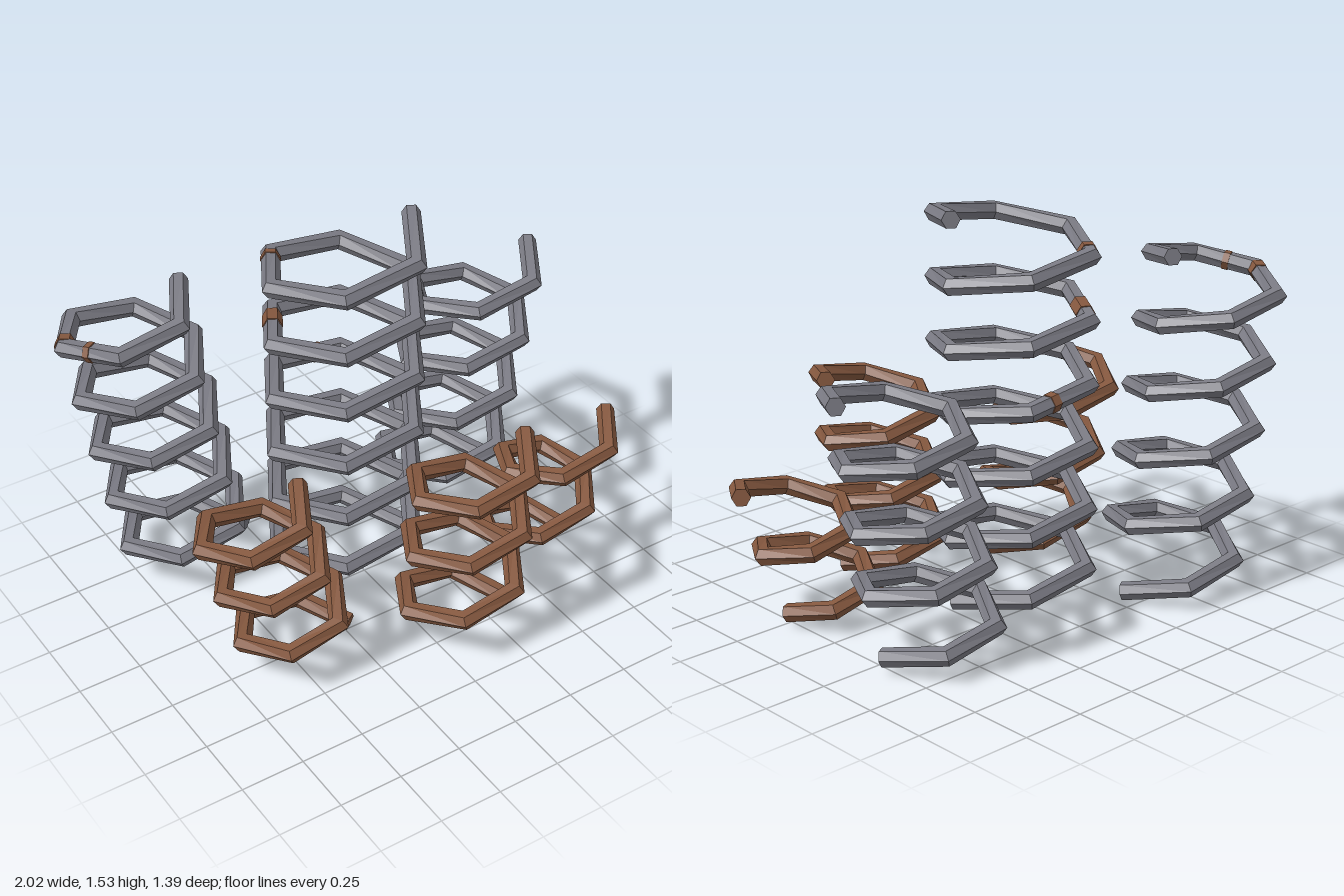
import * as THREE from 'three';

const SIDES = 6; // sides of the wire and segments per turn
const WIRE = 0.035;

// Faceted, mitred and capped wire along a list of points
function wireGeometry(points, radius) {
  const pos = [];
  const index = [];
  const up = new THREE.Vector3(0, 1, 0);
  const last = points.length - 1;
  const dir = (i) => points[i + 1].clone().sub(points[i]).normalize();
  points.forEach((p, i) => {
    const before = dir(Math.max(i - 1, 0));
    const after = dir(Math.min(i, last - 1));
    const tangent = before.clone().add(after).normalize();
    const side = tangent.clone().cross(up).normalize();
    const lift = side.clone().cross(tangent);
    const mitre = 1 / before.dot(tangent);
    for (let j = 0; j < SIDES; j++) {
      const a = (j / SIDES) * Math.PI * 2;
      const v = p.clone()
        .addScaledVector(side, Math.cos(a) * radius * mitre)
        .addScaledVector(lift, Math.sin(a) * radius);
      pos.push(v.x, v.y, v.z);
    }
  });
  for (let i = 0; i < last; i++) {
    for (let j = 0; j < SIDES; j++) {
      const a = i * SIDES + j;
      const b = i * SIDES + ((j + 1) % SIDES);
      index.push(a, a + SIDES, b, b, a + SIDES, b + SIDES);
    }
  }
  const e = last * SIDES;
  for (let j = 1; j < SIDES - 1; j++) {
    index.push(0, j, j + 1, e, e + j + 1, e + j); // end caps
  }
  const geo = new THREE.BufferGeometry();
  geo.setAttribute('position', new THREE.Float32BufferAttribute(pos, 3));
  geo.setIndex(index);
  const flat = geo.toNonIndexed();
  flat.computeVertexNormals();
  return flat;
}

// Corner points of a leaning six-sided coil
function coilPoints({ bottom, top, radius, turns }) {
  const a = new THREE.Vector3(...bottom);
  const b = new THREE.Vector3(...top);
  const points = [];
  for (let i = 0; i <= turns * SIDES; i++) {
    const angle = (i / SIDES) * Math.PI * 2;
    const p = a.clone().lerp(b, i / (turns * SIDES));
    p.x += Math.cos(angle) * radius;
    p.z -= Math.sin(angle) * radius;
    points.push(p);
  }
  return points;
}

export function createModel() {
  const model = new THREE.Group();
  model.name = 'coilSprings';

  const steel = new THREE.MeshStandardMaterial({ color: 0x7b7b84 });
  steel.name = 'grey steel';
  const rust = new THREE.MeshStandardMaterial({ color: 0x85583f });
  rust.name = 'brown rust';

  // bottom and top are the axis ends; patches are [segment, from, to]
  const springs = [
    { name: 'centreBackSpring', material: steel, bottom: [-0.03, 0.06, -0.1], top: [-0.03, 1.51, -0.1],
      radius: 0.295, turns: 6, patches: [[26, 0.2, 0.5], [32, 0.1, 0.2], [19, 0.3, 0.42]] },
    { name: 'rightBackSpring', material: steel, bottom: [-0.52, 0.05, -0.45], top: [-0.756, 1.305, -0.45],
      radius: 0.247, turns: 5, patches: [[26, 0.8, 0.98], [27, 0.42, 0.52]] },
    { name: 'leftBackSpring', material: steel, bottom: [0.54, 0.065, -0.305], top: [0.73, 1.035, -0.317],
      radius: 0.243, turns: 4, patches: [] },
    { name: 'rightFrontSpring', material: rust, bottom: [-0.445, 0.036, 0.25], top: [-0.662, 0.8, 0.25],
      radius: 0.215, turns: 3, patches: [] },
    { name: 'centreFrontSpring', material: rust, bottom: [0.11, 0.06, 0.46], top: [0.175, 0.815, 0.46],
      radius: 0.222, turns: 3, patches: [] },
    { name: 'leftFrontSpring', material: rust, bottom: [0.58, 0.055, 0.24], top: [0.765, 0.555, 0.24],
      radius: 0.2, turns: 2, patches: [] },
  ];

  for (const spring of springs) {
    const group = new THREE.Group();
    group.name = spring.name;
    const points = coilPoints(spring);
    const coil = new THREE.Mesh(wireGeometry(points, WIRE), spring.material);
    coil.name = 'coil';
    group.add(coil);
    // Thin rust bands around the wire
    for (const [segment, from, to] of spring.patches) {
      const ends = [from, to].map((t) => points[segment].clone().lerp(points[segment + 1], t));
      const band = new THREE.Mesh(wireGeometry(ends, WIRE + 0.003), rust);
      band.name = 'rustPatch';
      group.add(band);
    }
    model.add(group);
  }
  return model;
}
